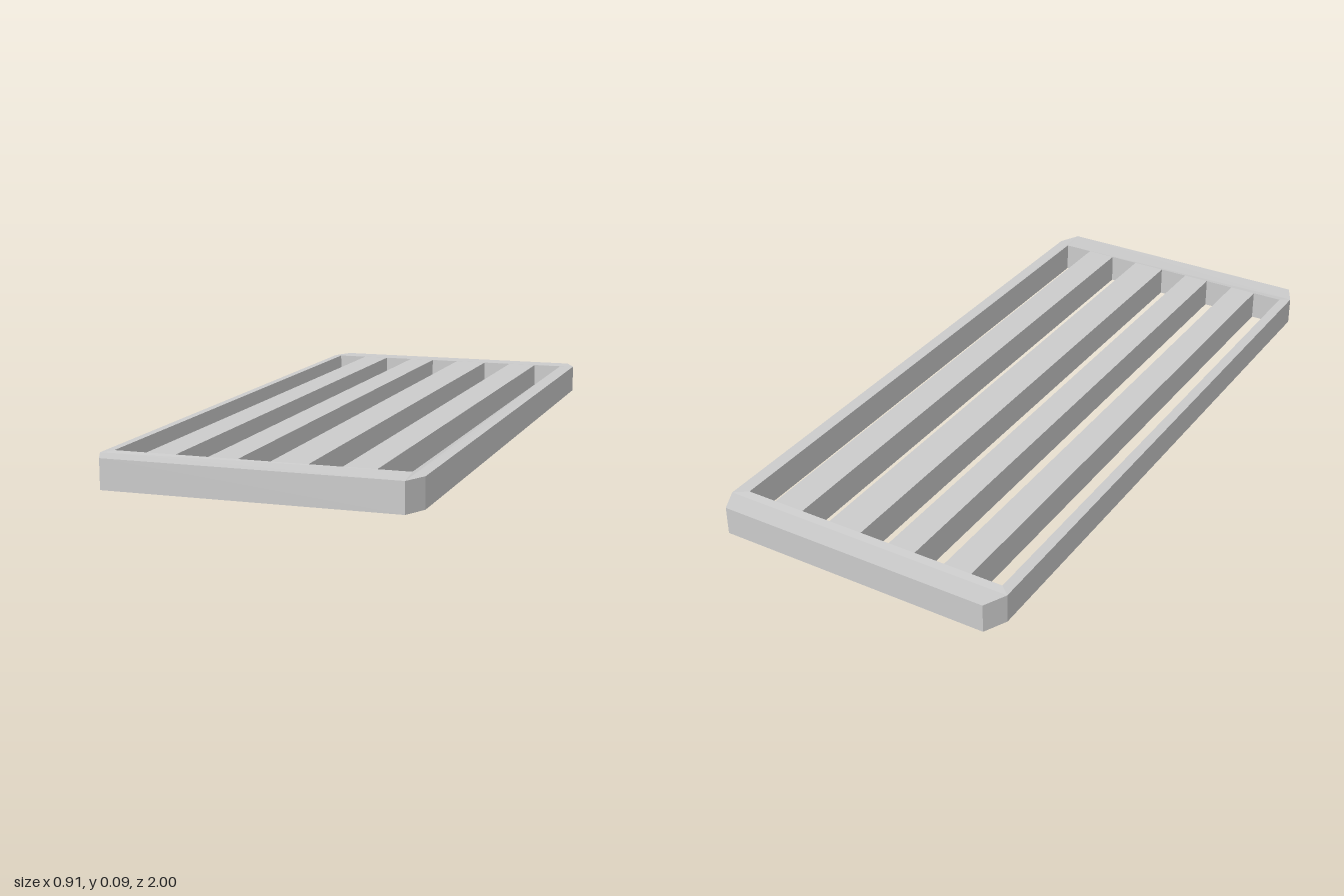
import * as THREE from 'three';

const HEIGHT = 0.092, EDGE_DROP = 0.003;

function pointsToPath(PathType, pts) {
  return new PathType(pts.map(([x, y]) => new THREE.Vector2(x, y)));
}

export function createModel() {
  const group = new THREE.Group();
  group.name = 'slottedGrate';

  // Rectangular plate with four clipped corners
  const w = 0.453, l = 1, cx = 0.42, cz = 0.933;
  const plate = pointsToPath(THREE.Shape, [
    [-cx, -l], [cx, -l], [w, -cz], [w, cz],
    [cx, l], [-cx, l], [-w, cz], [-w, -cz],
  ]);

  // Five long slots
  const slots = [[-0.423, -0.328], [-0.243, -0.149], [-0.065, 0.027], [0.132, 0.225], [0.318, 0.411]];
  const end = 0.908;
  for (const [a, b] of slots) {
    plate.holes.push(pointsToPath(THREE.Path, [[a, -end], [a, end], [b, end], [b, -end]]));
  }

  const geometry = new THREE.ExtrudeGeometry(plate, { depth: HEIGHT, bevelEnabled: false });
  geometry.rotateX(-Math.PI / 2);

  // The rim is slightly thinner than the slotted middle
  const pos = geometry.attributes.position;
  for (let i = 0; i < pos.count; i++) {
    if (Math.abs(pos.getX(i)) > 0.44 || Math.abs(pos.getZ(i)) > 0.95) {
      pos.setY(i, pos.getY(i) > HEIGHT / 2 ? HEIGHT - EDGE_DROP : EDGE_DROP);
    }
  }
  geometry.computeVertexNormals();

  const grate = new THREE.Mesh(
    geometry,
    new THREE.MeshStandardMaterial({ color: 0xcccccc, flatShading: true })
  );
  grate.name = 'gratePlate';
  group.add(grate);
  return group;
}
